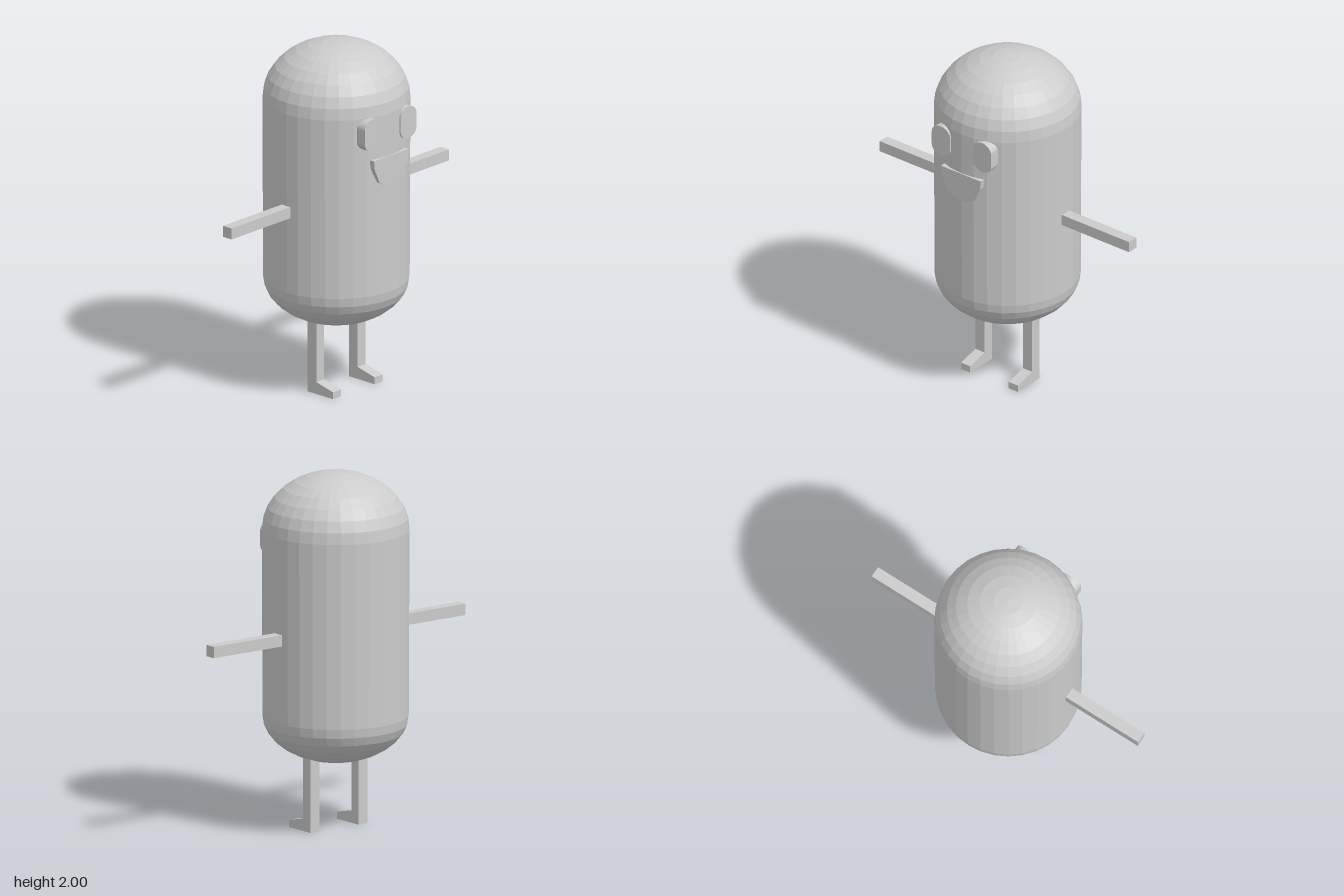
import * as THREE from 'three';

const material = new THREE.MeshStandardMaterial({ color: 0xcccccc, flatShading: true, side: THREE.DoubleSide });

function addMesh(parent, name, geometry) {
  const mesh = new THREE.Mesh(geometry, material);
  mesh.name = name;
  parent.add(mesh);
  return mesh;
}

// Extrudes a shape along z so that it fills back..front
function slab(shape, back, front, curveSegments = 4) {
  const g = new THREE.ExtrudeGeometry(shape, { depth: front - back, bevelEnabled: false, curveSegments });
  return g.translate(0, 0, back);
}

// Capsule with a tall upper dome and a shallower lower one
function bodyGeometry() {
  const points = [];
  const steps = 8;
  for (let i = 0; i <= steps; i++) {
    const a = (i / steps) * Math.PI / 2;
    points.push(new THREE.Vector2(0.402 * Math.sin(a), 0.635 - 0.26 * Math.cos(a)));
  }
  for (let i = 0; i <= steps; i++) {
    const a = (i / steps) * Math.PI / 2;
    points.push(new THREE.Vector2(0.406 * Math.cos(a), 1.675 + 0.325 * Math.sin(a)));
  }
  return new THREE.LatheGeometry(points, 32);
}

// Upright rounded eye, centred on the origin
function eyeShape() {
  const r = 0.064, h = 0.04, v = 0.052;
  const s = new THREE.Shape();
  s.moveTo(r, -h);
  s.lineTo(r, h);
  s.absellipse(0, h, r, v, 0, Math.PI, false);
  s.lineTo(-r, -h);
  s.absellipse(0, -h, r, v, Math.PI, Math.PI * 2, false);
  return s;
}

// Open smile with a flat upper edge
function mouthShape() {
  const half = [[0.14, 1.43], [0.133, 1.375], [0.095, 1.293], [0.05, 1.268], [0, 1.258]];
  const mirrored = half.slice(0, -1).reverse().map(([x, y]) => [-x, y]);
  return new THREE.Shape([...half, ...mirrored].map(([x, y]) => new THREE.Vector2(x, y)));
}

// Leg and wedge foot as one side profile, with z drawn along the shape's x
function legGeometry() {
  const profile = [[-0.033, 0], [0.157, 0], [0.157, 0.04], [0.031, 0.07], [0.031, 0.415], [-0.033, 0.415]];
  const s = new THREE.Shape(profile.map(([z, y]) => new THREE.Vector2(z, y)));
  return slab(s, -0.032, 0.032).rotateY(-Math.PI / 2);
}

export function createModel() {
  const model = new THREE.Group();
  model.name = 'capsuleFigure';

  addMesh(model, 'body', bodyGeometry()).position.z = -0.003;
  addMesh(model, 'mouth', slab(mouthShape(), 0.36, 0.408));

  for (const [side, sign] of [['left', 1], ['right', -1]]) {
    addMesh(model, side + 'Eye', slab(eyeShape(), -0.07, 0, 8)).position.set(sign * 0.144, 1.583, 0.403);
    addMesh(model, side + 'Arm', new THREE.BoxGeometry(0.495, 0.064, 0.064))
      .position.set(sign * 0.6275, 1.108, -0.006);
    addMesh(model, side + 'Leg', legGeometry()).position.x = sign * 0.167;
  }
  return model;
}
